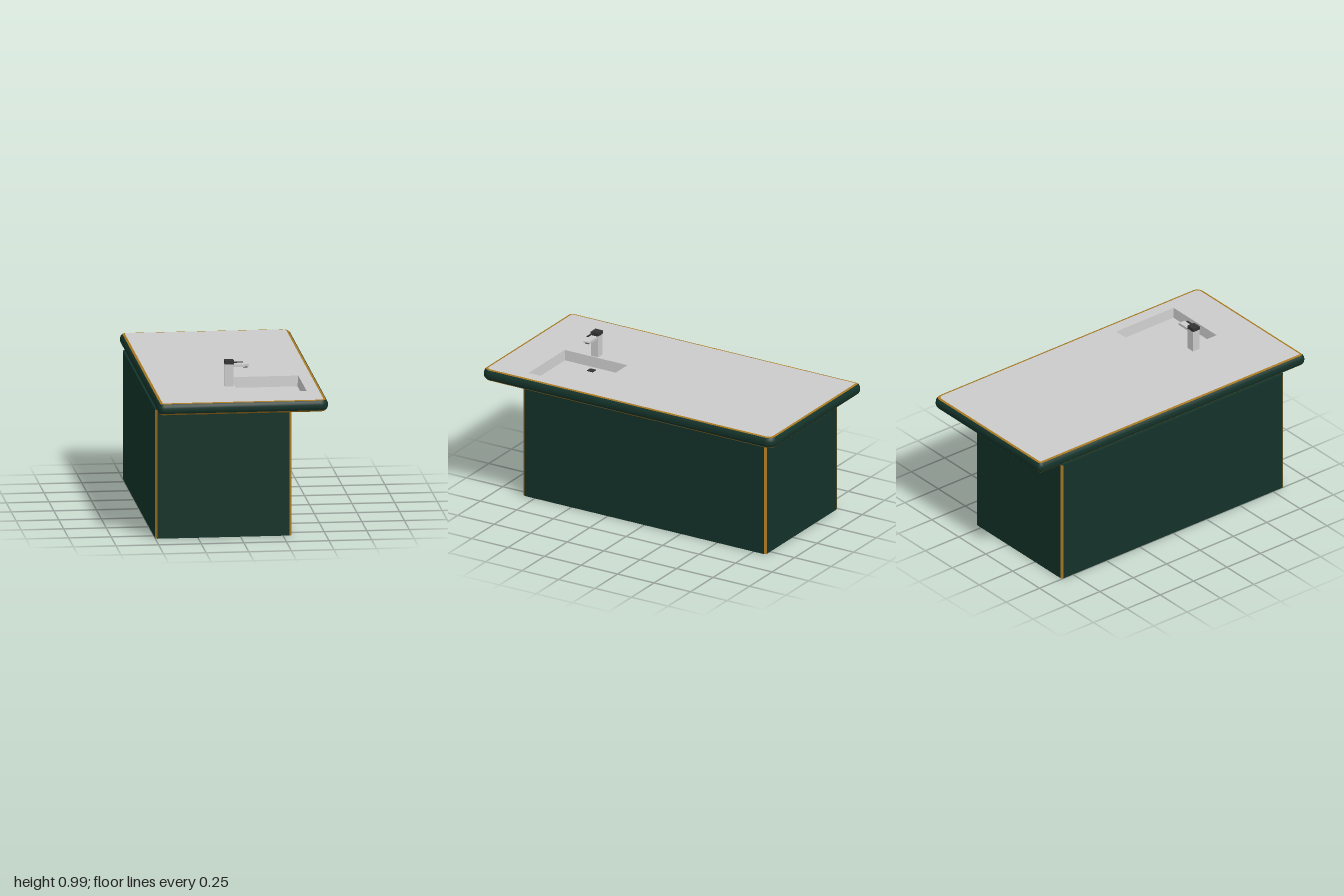
import * as THREE from 'three';

const mat = (color) => new THREE.MeshStandardMaterial({ color, side: THREE.DoubleSide });
const GREEN = mat(0x14332a), GOLD = mat(0xa87820), GREY = mat(0xcccccc), DARK = mat(0x333333);

const ARC = 8;
// Rounded outline of the counter slab, pulled in by an inset; list of [x, z]
function outline(inset) {
  const pts = [];
  const corners = [[1, 1], [-1, 1], [-1, -1], [1, -1]];
  corners.forEach(([sx, sz], k) => {
    const r = Math.max(0.004, (sx > 0 ? 0.055 : 0.032) - inset);
    const cx = sx * (0.5 - inset - r), cz = sz * (1 - inset - r);
    for (let i = 0; i <= ARC; i++) {
      const a = (k + i / ARC) * Math.PI / 2;
      pts.push([cx + r * Math.cos(a), cz + r * Math.sin(a)]);
    }
  });
  return pts;
}

// Closed band lofted through [inset, y] profile points, bottom to top
function band(profile) {
  const pos = [], idx = [];
  const n = 4 * (ARC + 1);
  for (const [inset, y] of profile) for (const [x, z] of outline(inset)) pos.push(x, y, z);
  for (let j = 0; j < profile.length - 1; j++) {
    for (let i = 0; i < n; i++) {
      const a = j * n + i, b = j * n + (i + 1) % n;
      idx.push(a, a + n, b, b, a + n, b + n);
    }
  }
  const g = new THREE.BufferGeometry();
  g.setAttribute('position', new THREE.Float32BufferAttribute(pos, 3));
  g.setIndex(idx);
  g.computeVertexNormals();
  return g;
}

// Flat horizontal face of the slab, with an optional rectangular opening
function face(inset, y, hole) {
  const s = new THREE.Shape(outline(inset).map(([x, z]) => new THREE.Vector2(x, -z)));
  if (hole) {
    const { x0, x1, z0, z1 } = hole;
    s.holes.push(new THREE.Path([[x0, -z0], [x0, -z1], [x1, -z1], [x1, -z0]]
      .map((p) => new THREE.Vector2(...p))));
  }
  return new THREE.ShapeGeometry(s).rotateX(-Math.PI / 2).translate(0, y, 0);
}

export function createModel() {
  const model = new THREE.Group();
  const add = (parent, name, geometry, material) => {
    const m = new THREE.Mesh(geometry, material);
    m.name = name;
    parent.add(m);
    return m;
  };
  // Box given by its min and max on each axis
  const box = (parent, name, material, x0, x1, y0, y1, z0, z1) => {
    const m = add(parent, name, new THREE.BoxGeometry(x1 - x0, y1 - y0, z1 - z0), material);
    m.position.set((x0 + x1) / 2, (y0 + y1) / 2, (z0 + z1) / 2);
    return m;
  };

  // Cabinet body with chamfered upright corners
  const base = new THREE.Group();
  base.name = 'cabinet';
  model.add(base);
  const X0 = -0.5, X1 = 0.3, Z = 0.833, C = 0.013, H = 0.768;
  const plan = [[X0 + C, -Z], [X1 - C, -Z], [X1, -Z + C], [X1, Z - C],
    [X1 - C, Z], [X0 + C, Z], [X0, Z - C], [X0, -Z + C]].map((p) => new THREE.Vector2(...p));
  add(base, 'cabinetBody', new THREE.ExtrudeGeometry(new THREE.Shape(plan),
    { depth: H, bevelEnabled: false }).rotateX(-Math.PI / 2), GREEN);
  // Gold trim on each chamfer
  for (const x of [X0, X1]) for (const sz of [-1, 1]) {
    const sx = x === X0 ? -1 : 1;
    const strip = add(base, 'cornerTrim', new THREE.PlaneGeometry(C * Math.SQRT2, H), GOLD);
    strip.position.set(x - sx * (C / 2 - 0.0008), H / 2, sz * (Z - C / 2 + 0.0008));
    strip.rotation.y = Math.atan2(sx, sz);
  }

  // Counter slab: rounded green edge with gold inlay bands above and below
  const counter = new THREE.Group();
  counter.name = 'counterTop';
  model.add(counter);
  const sink = { x0: 0, x1: 0.4, z0: 0.3, z1: 0.73 };
  add(counter, 'counterUnderside', face(0.023, 0.767), GREEN);
  add(counter, 'lowerTrim', band([[0.023, 0.767], [0.016, 0.77], [0.008, 0.778]]), GOLD);
  add(counter, 'counterEdge', band([[0.008, 0.778], [0.002, 0.787], [0, 0.796], [0, 0.81],
    [0.002, 0.819], [0.007, 0.828], [0.013, 0.834]]), GREEN);
  add(counter, 'upperTrim', band([[0.013, 0.834], [0.019, 0.8365], [0.027, 0.837]]), GOLD);
  add(counter, 'counterSurface', face(0.027, 0.837, sink), GREY);

  // Sink basin: four slightly sloping walls and a floor
  const basin = new THREE.Group();
  basin.name = 'sink';
  model.add(basin);
  const { x0, x1, z0, z1 } = sink, F = 0.774, S = 0.005;
  const rim = [[x0, z0], [x0, z1], [x1, z1], [x1, z0]];
  const low = [[x0 + S, z0 + S], [x0 + S, z1 - S], [x1 - S, z1 - S], [x1 - S, z0 + S]];
  const walls = [];
  for (let i = 0; i < 4; i++) {
    const j = (i + 1) % 4;
    const at = ([x, z], y) => [x, y, z];
    const a = at(rim[i], 0.837), b = at(rim[j], 0.837), c = at(low[j], F), d = at(low[i], F);
    walls.push(...a, ...d, ...b, ...b, ...d, ...c);
  }
  const wallGeo = new THREE.BufferGeometry();
  wallGeo.setAttribute('position', new THREE.Float32BufferAttribute(walls.map(Number), 3));
  // Corners run anticlockwise from above, so flip to face into the basin
  const order = [];
  for (let i = 0; i < walls.length / 3; i += 3) order.push(i, i + 2, i + 1);
  wallGeo.setIndex(order);
  wallGeo.computeVertexNormals();
  add(basin, 'sinkWalls', wallGeo, GREY);
  const floor = add(basin, 'sinkFloor',
    new THREE.PlaneGeometry(x1 - x0 - 2 * S, z1 - z0 - 2 * S).rotateX(-Math.PI / 2), GREY);
  floor.position.set((x0 + x1) / 2, F, (z0 + z1) / 2);
  box(basin, 'drain', DARK, 0.035, 0.073, F, F + 0.004, 0.493, 0.533);

  // Tap: square column, spout, nozzle, dark cap and lever
  const tap = new THREE.Group();
  tap.name = 'tap';
  model.add(tap);
  box(tap, 'tapColumn', GREY, -0.058, -0.008, 0.836, 0.967, 0.507, 0.555);
  // Spout with a rounded tip
  const spout = new THREE.Shape();
  spout.moveTo(-0.01, 0.952);
  spout.lineTo(0.075, 0.952);
  spout.absarc(0.075, 0.9595, 0.0075, -Math.PI / 2, Math.PI / 2, false);
  spout.lineTo(-0.01, 0.967);
  add(tap, 'spout', new THREE.ExtrudeGeometry(spout, { depth: 0.04, bevelEnabled: false })
    .translate(0, 0, 0.511), GREY);
  box(tap, 'nozzle', DARK, 0.048, 0.074, 0.947, 0.953, 0.518, 0.544);
  box(tap, 'tapCap', DARK, -0.06, -0.006, 0.969, 0.99, 0.506, 0.556);
  box(tap, 'lever', DARK, -0.008, 0.046, 0.977, 0.982, 0.541, 0.551);

  return model;
}
